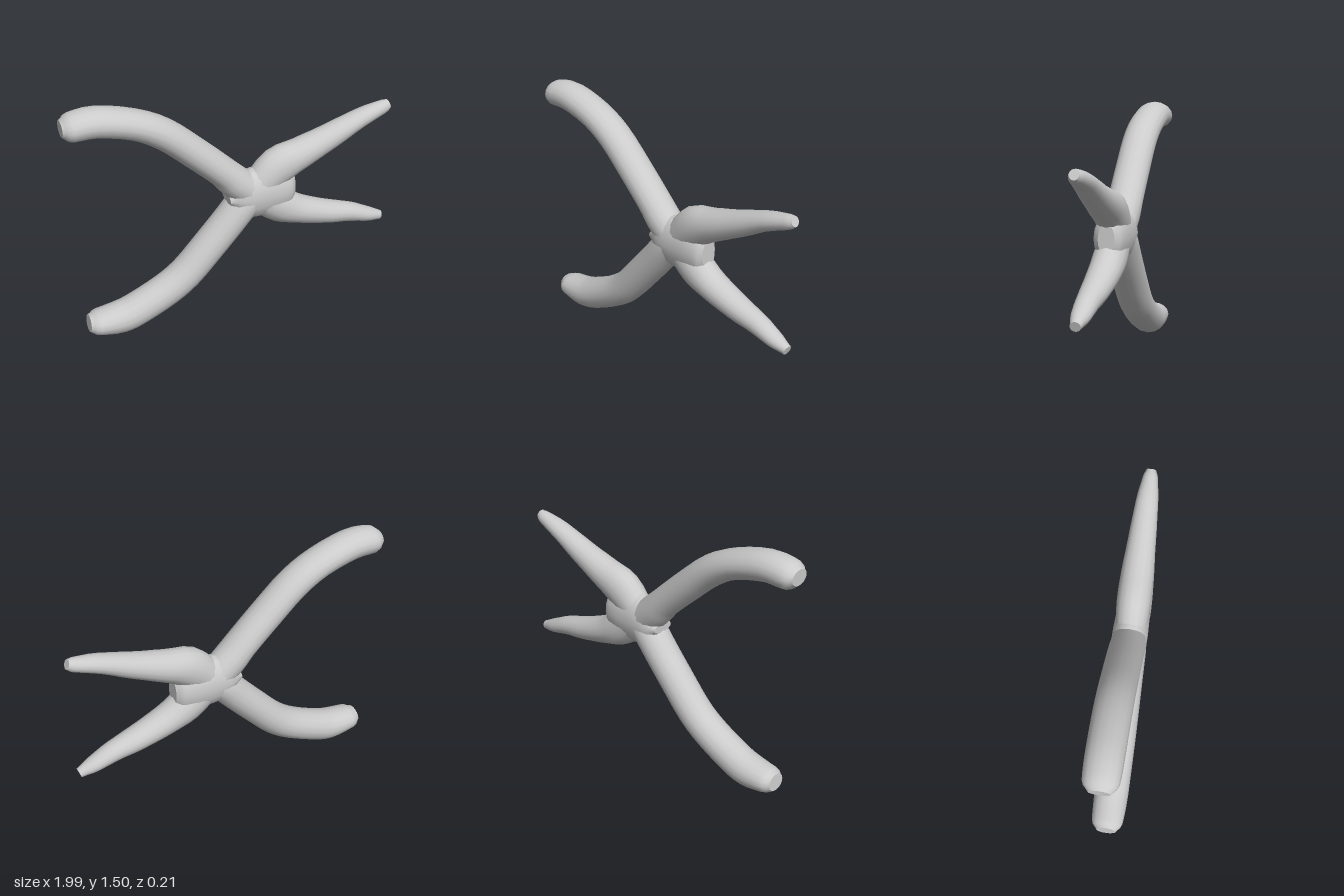
import * as THREE from 'three';

const SIDES = 16;
const STEPS = 3; // rings per station

// Sweeps an oval through stations [x, y, radius in the plane, radius in z], with flat ends.
function limb(name, stations, material) {
  const path = new THREE.CatmullRomCurve3(stations.map(([x, y]) => new THREE.Vector3(x, y, 0)), false, 'catmullrom', 0.5);
  const radii = new THREE.CatmullRomCurve3(stations.map((s) => new THREE.Vector3(s[2], s[3], 0)), false, 'catmullrom', 0.3);
  const rings = (stations.length - 1) * STEPS;
  const pos = [], index = [];
  const addRing = (t) => {
    const start = pos.length / 3;
    const c = path.getPoint(t), r = radii.getPoint(t), d = path.getTangent(t);
    for (let j = 0; j < SIDES; j++) {
      const a = (j / SIDES) * Math.PI * 2;
      const n = r.x * Math.cos(a);
      pos.push(c.x - d.y * n, c.y + d.x * n, -0.003 + r.y * Math.sin(a));
    }
    return start;
  };
  for (let i = 0; i <= rings; i++) addRing(i / rings);
  for (let i = 0; i < rings; i++) {
    for (let j = 0; j < SIDES; j++) {
      const k = (j + 1) % SIDES;
      const a = i * SIDES + j, b = i * SIDES + k;
      index.push(a, b, a + SIDES, b, b + SIDES, a + SIDES);
    }
  }
  // end caps on their own vertices so the rim stays crisp
  for (const t of [0, 1]) {
    const s = addRing(t);
    for (let j = 1; j < SIDES - 1; j++) {
      if (t) index.push(s, s + j, s + j + 1);
      else index.push(s, s + j + 1, s + j);
    }
  }
  const geometry = new THREE.BufferGeometry();
  geometry.setAttribute('position', new THREE.Float32BufferAttribute(pos, 3));
  geometry.setIndex(index);
  geometry.computeVertexNormals();
  const mesh = new THREE.Mesh(geometry, material);
  mesh.name = name;
  return mesh;
}

export function createModel() {
  const group = new THREE.Group();
  group.name = 'fourArmedBody';
  const grey = new THREE.MeshStandardMaterial({ color: 0xcccccc });

  const parts = {
    // central body where the limbs meet
    hub: [
      [-0.05, 0.775, 0.03, 0.07], [0.03, 0.775, 0.13, 0.1], [0.11, 0.775, 0.16, 0.105],
      [0.24, 0.775, 0.16, 0.1], [0.33, 0.775, 0.135, 0.085], [0.37, 0.775, 0.09, 0.05],
    ],
    // thick curved limbs
    upperThickArm: [
      [-0.995, 1.41, 0.045, 0.06], [-0.94, 1.41, 0.08, 0.098], [-0.8, 1.415, 0.086, 0.104],
      [-0.59, 1.36, 0.085, 0.105], [-0.42, 1.268, 0.09, 0.105], [-0.25, 1.12, 0.092, 0.105],
      [-0.08, 0.96, 0.092, 0.105], [0.0, 0.875, 0.1, 0.105], [0.12, 0.77, 0.1, 0.095],
    ],
    lowerThickArm: [
      [-0.925, 0.105, 0.05, 0.06], [-0.87, 0.1, 0.073, 0.095], [-0.73, 0.102, 0.097, 0.104],
      [-0.62, 0.135, 0.1, 0.105], [-0.44, 0.222, 0.1, 0.105], [-0.31, 0.315, 0.1, 0.105],
      [-0.165, 0.47, 0.1, 0.105], [-0.04, 0.61, 0.1, 0.105], [0.05, 0.715, 0.1, 0.105],
      [0.14, 0.8, 0.1, 0.095],
    ],
    // slim tapering limbs
    upperSlimArm: [
      [0.14, 0.81, 0.1, 0.09], [0.27, 0.92, 0.12, 0.1], [0.42, 0.98, 0.095, 0.096],
      [0.6, 1.05, 0.076, 0.082], [0.8, 1.135, 0.055, 0.066], [0.94, 1.178, 0.043, 0.045],
      [0.985, 1.195, 0.03, 0.028],
    ],
    lowerSlimArm: [
      [0.16, 0.75, 0.11, 0.09], [0.29, 0.655, 0.11, 0.098], [0.42, 0.592, 0.087, 0.094],
      [0.6, 0.533, 0.073, 0.082], [0.76, 0.493, 0.06, 0.066], [0.88, 0.45, 0.047, 0.055],
      [0.98, 0.418, 0.029, 0.03],
    ],
  };
  for (const [name, stations] of Object.entries(parts)) group.add(limb(name, stations, grey));
  return group;
}
